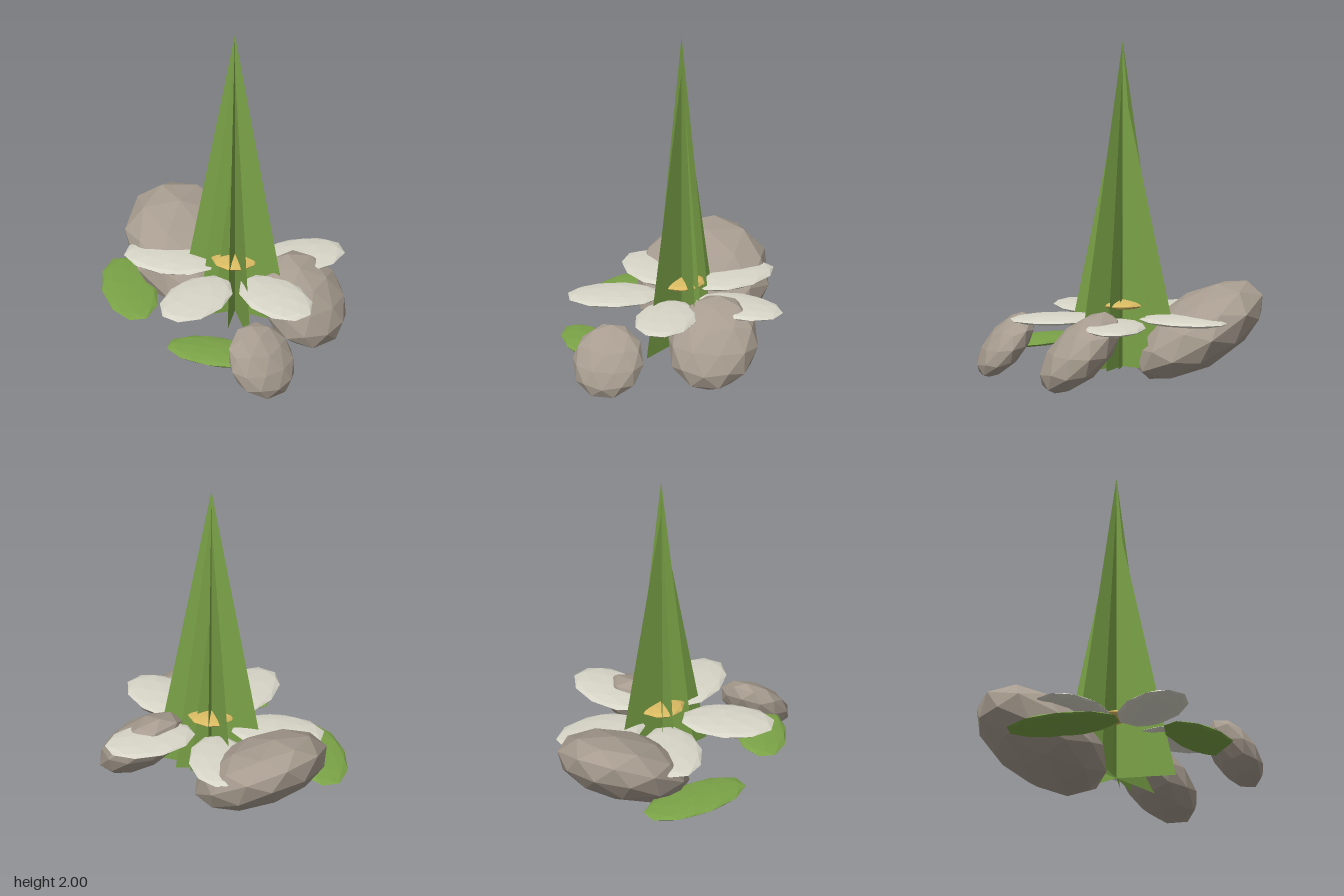
import * as THREE from 'three';

export function createModel() {
  const group = new THREE.Group();
  const material = (name, color, extra = {}) => {
    const m = new THREE.MeshStandardMaterial({ color, flatShading: true, ...extra });
    m.name = name;
    return m;
  };
  const stone = material('stone grey', 0xa79c8f);
  const white = material('petal white', 0xd8d6c8);
  const yellow = material('flower yellow', 0xd9ba62);
  const green = material('leaf green', 0x7ba347);
  const bladeGreen = material('grass green', 0x7ba347, { side: THREE.DoubleSide });

  // Faceted ball with a corner at each pole, stretched to the given radii
  const ball = new THREE.IcosahedronGeometry(1, 1);
  ball.rotateX(-Math.atan((1 + Math.sqrt(5)) / 2));
  ball.rotateY(-Math.PI / 2);
  const blob = (name, mat, pos, radii, yaw = 0, tilt = 0) => {
    const mesh = new THREE.Mesh(ball, mat);
    mesh.name = name;
    mesh.position.set(...pos);
    mesh.scale.set(...radii);
    mesh.rotation.set(0, yaw, tilt);
    group.add(mesh);
  };

  // Tilted stones around the plant
  blob('largeStone', stone, [-0.43, 0.29, -0.02], [0.435, 0.2, 0.39], 0, -0.54);
  blob('mediumStone', stone, [0.315, 0.225, -0.26], [0.3, 0.145, 0.265], 0, -0.77);
  blob('smallStone', stone, [0.64, 0.19, 0.285], [0.23, 0.1, 0.21], 0, -0.87);

  // Flower: five flat petals and a centre
  for (let i = 0; i < 5; i++) {
    const a = (i * Math.PI * 2) / 5;
    const pos = [0.01 + 0.39 * Math.cos(a), 0.382, -0.39 * Math.sin(a)];
    blob('petal', white, pos, [0.275, 0.027, 0.177], a);
  }
  blob('flowerCentre', yellow, [0.01, 0.455, 0], [0.137, 0.027, 0.136]);

  // Low leaves at the front
  blob('rightLeaf', green, [-0.42, 0.187, 0.435], [0.34, 0.026, 0.16], -0.5);
  blob('leftLeaf', green, [0.4, 0.187, 0.44], [0.29, 0.026, 0.15], 0.62);

  // Upright grass blades crossing on the centre line: [end x, end z, tip height]
  const blades = [
    [0.3, -0.165, 1.995],
    [0.32, 0.13, 1.76],
    [0.13, 0.15, 1.99],
    [-0.13, 0.16, 1.85],
    [0.05, -0.12, 1.22],
  ];
  for (const [x, z, top] of blades) {
    const half = Math.hypot(x, z);
    const shape = new THREE.Shape();
    shape.moveTo(-half, 0.09);
    shape.lineTo(half, 0.09);
    shape.lineTo(0, top);
    shape.closePath();
    const blade = new THREE.Mesh(new THREE.ShapeGeometry(shape), bladeGreen);
    blade.name = 'grassBlade';
    blade.position.x = 0.01;
    blade.rotation.y = Math.atan2(-z, x);
    group.add(blade);
  }
  return group;
}
